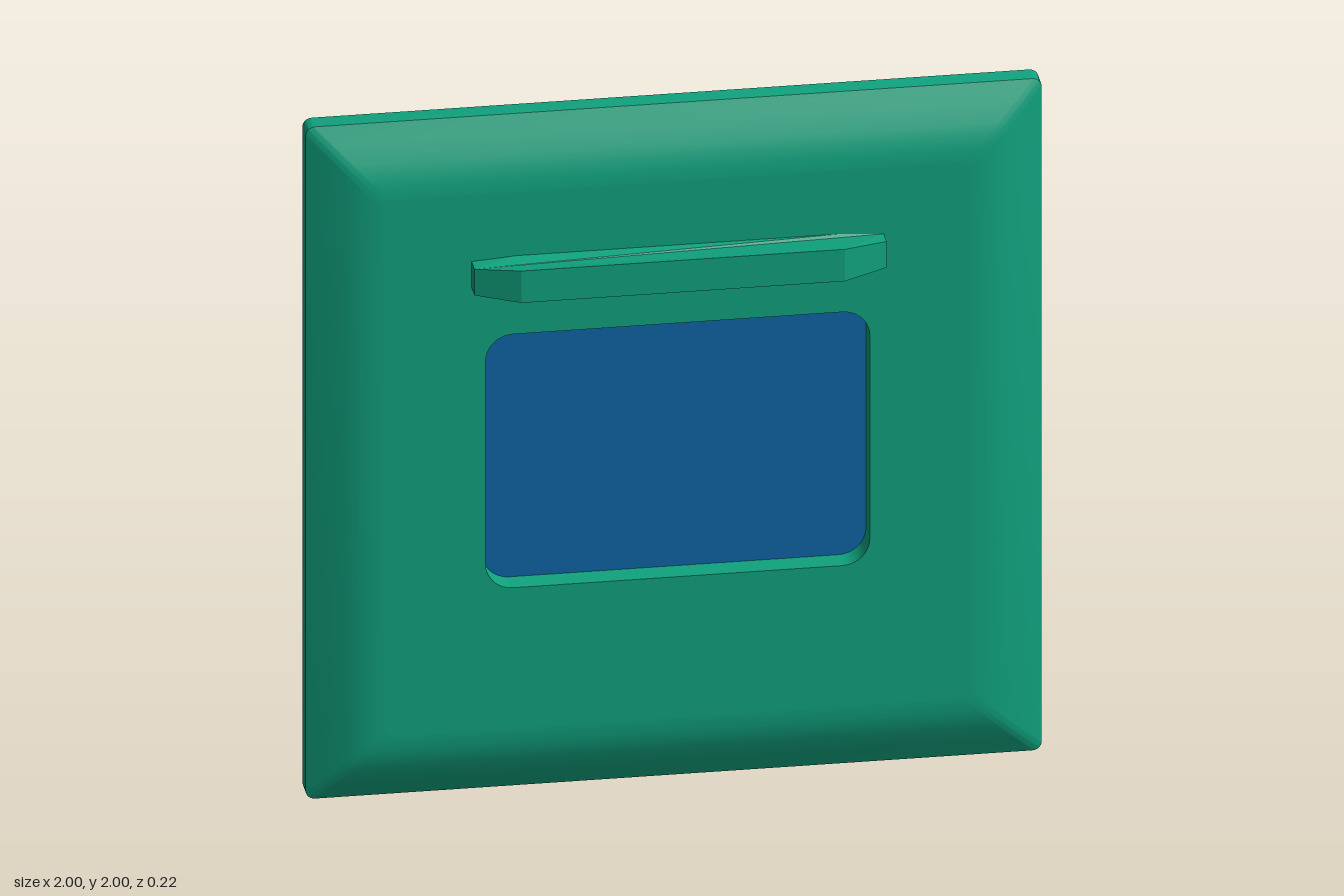
import * as THREE from 'three';
import { mergeGeometries, toCreasedNormals } from 'three/addons/utils/BufferGeometryUtils.js';

const BACK = -0.1125, FACE = 0.016;

// Rounded rectangle outline, counter-clockwise, centred on y = 1
function outline(w, h, r, steps) {
  const pts = [];
  [[1, -1], [1, 1], [-1, 1], [-1, -1]].forEach(([sx, sy], c) => {
    for (let i = 0; i <= steps; i++) {
      const a = (c - 1 + i / steps) * Math.PI / 2;
      pts.push(new THREE.Vector2(
        sx * (w / 2 - r) + r * Math.cos(a), 1 + sy * (h / 2 - r) + r * Math.sin(a)));
    }
  });
  return pts;
}

// Skin between successive outlines, each { pts, z }
function loft(rings) {
  const pos = [];
  for (let k = 0; k < rings.length - 1; k++) {
    const p = rings[k], q = rings[k + 1], n = p.pts.length;
    for (let i = 0; i < n; i++) {
      const j = (i + 1) % n;
      const v = (ring, m) => [ring.pts[m].x, ring.pts[m].y, ring.z];
      pos.push(...v(p, i), ...v(p, j), ...v(q, j), ...v(p, i), ...v(q, j), ...v(q, i));
    }
  }
  const geo = new THREE.BufferGeometry();
  geo.setAttribute('position', new THREE.Float32BufferAttribute(pos, 3));
  return toCreasedNormals(geo, 0.42);
}

// Flat sheet with a hole, facing front or back
function sheet(pts, hole, z, facingBack) {
  const shape = new THREE.Shape(pts);
  shape.holes.push(new THREE.Path(hole));
  const geo = new THREE.ShapeGeometry(shape);
  if (facingBack) geo.rotateY(Math.PI);
  geo.translate(0, 0, z);
  const flat = geo.toNonIndexed();
  flat.deleteAttribute('uv');
  return flat;
}

export function createModel() {
  const group = new THREE.Group();
  const green = new THREE.MeshStandardMaterial({ color: 0x10a37f });
  const blue = new THREE.MeshStandardMaterial({ color: 0x0d66a8 });
  const add = (name, geo, mat) => {
    const mesh = new THREE.Mesh(geo, mat);
    mesh.name = name;
    group.add(mesh);
  };

  // Panel: straight rim, then a border curving up to the flat face
  const profile = [[0, BACK], [0, -0.055], [0.05, -0.03], [0.1, -0.006],
    [0.13, 0.005], [0.16, 0.012], [0.2, FACE], [0.206, FACE]];
  const rings = profile.map(([inset, z]) => (
    { pts: outline(2 - 2 * inset, 2 - 2 * inset, 0.025, 5), z }));
  const windowPts = outline(1.044, 0.755, 0.075, 10);
  add('panel', mergeGeometries([
    loft(rings),
    sheet(rings[rings.length - 1].pts, windowPts, FACE, false),
    sheet(rings[0].pts, windowPts, BACK, true),
    loft([{ pts: windowPts, z: FACE }, { pts: windowPts, z: BACK }]),
  ]), green);

  // Window pane, recessed at the front and flush at the back
  const pane = new THREE.ExtrudeGeometry(new THREE.Shape(windowPts),
    { depth: 0.06, bevelEnabled: false });
  pane.translate(0, 0, BACK);
  add('windowPane', pane, blue);

  // Ledge above the window, with chamfered ends that thin slightly
  const half = [[0.44, 0], [0.56, 0], [0.56, 0.048], [0.44, 0.0965]];
  const plan = [...half, ...half.map(([x, z]) => [-x, z]).reverse()];
  const ledge = new THREE.ExtrudeGeometry(
    new THREE.Shape(plan.map(([x, z]) => new THREE.Vector2(x, -z))),
    { depth: 0.095, bevelEnabled: false });
  ledge.translate(0, 0, -0.0475);
  ledge.rotateX(-Math.PI / 2);
  const p = ledge.attributes.position;
  for (let i = 0; i < p.count; i++) {
    if (Math.abs(p.getX(i)) > 0.5) p.setY(i, p.getY(i) * 0.82);
  }
  ledge.translate(0, 1.563, FACE);
  ledge.computeVertexNormals();
  add('ledge', ledge, green);

  return group;
}
